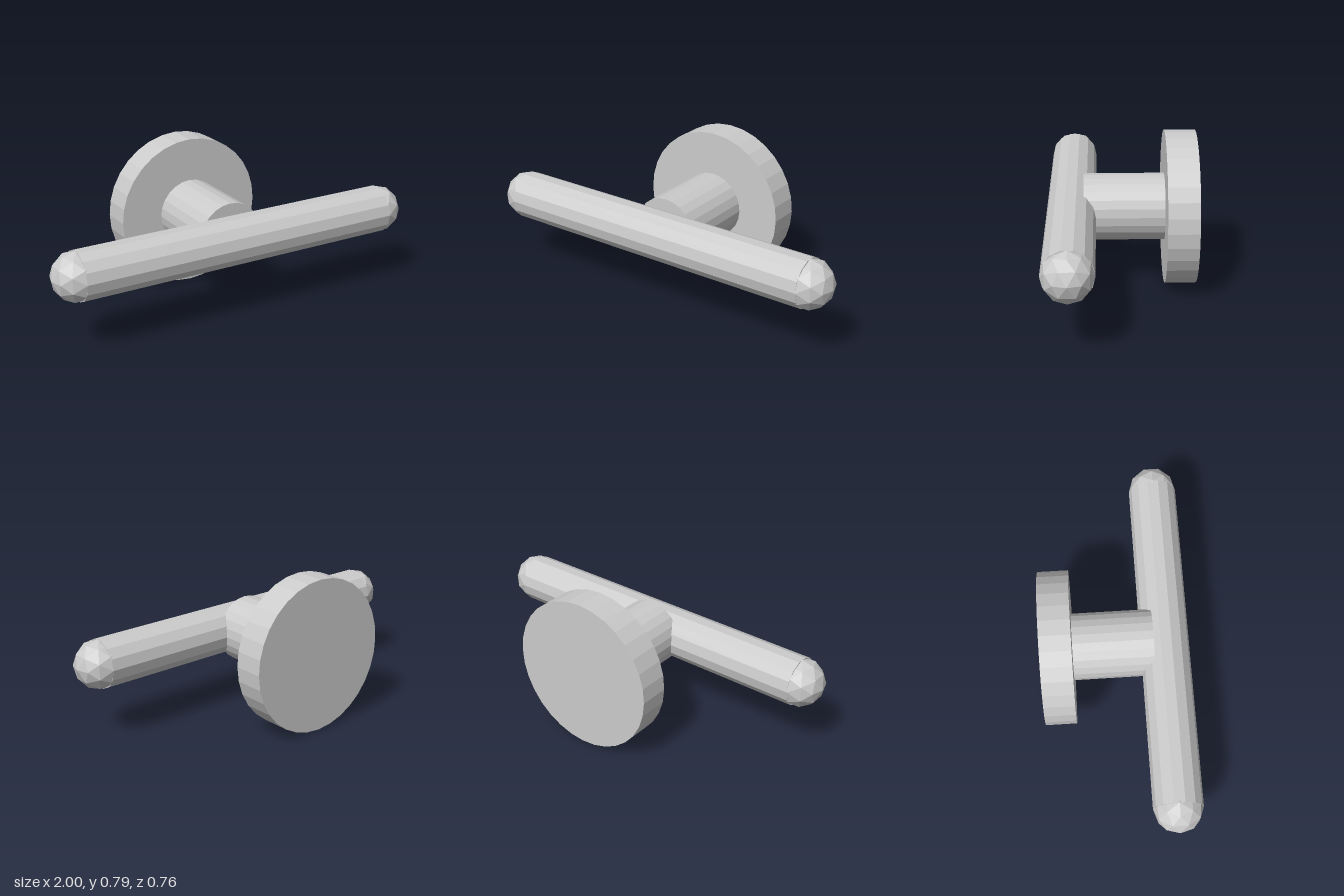
import * as THREE from 'three';

export function createModel() {
  const group = new THREE.Group();
  const material = new THREE.MeshStandardMaterial({ color: 0xcccccc, flatShading: true });
  const axisY = 0.397, barZ = 0.255, barRadius = 0.126, barHalf = 0.874;

  const add = (name, geometry, x, z) => {
    const mesh = new THREE.Mesh(geometry, material);
    mesh.name = name;
    mesh.position.set(x, axisY, z);
    group.add(mesh);
  };

  // Cylinder running along z between two depths
  const rod = (radius, z0, z1, sides) =>
    add(sides === 32 ? 'wallPlate' : 'post',
      new THREE.CylinderGeometry(radius, radius, z1 - z0, sides).rotateX(Math.PI / 2),
      0, (z0 + z1) / 2);

  // Round mounting plate and the post that carries the bar
  rod(0.397, -0.381, -0.222, 32);
  rod(0.173, -0.222, 0.191, 24);

  // Horizontal bar
  add('bar', new THREE.CylinderGeometry(barRadius, barRadius, barHalf * 2, 14).rotateZ(Math.PI / 2), 0, barZ);

  // Faceted ball at each end of the bar
  for (const side of [1, -1]) {
    add(side > 0 ? 'leftBarEnd' : 'rightBarEnd', new THREE.IcosahedronGeometry(barRadius, 1), side * barHalf, barZ);
  }
  return group;
}
